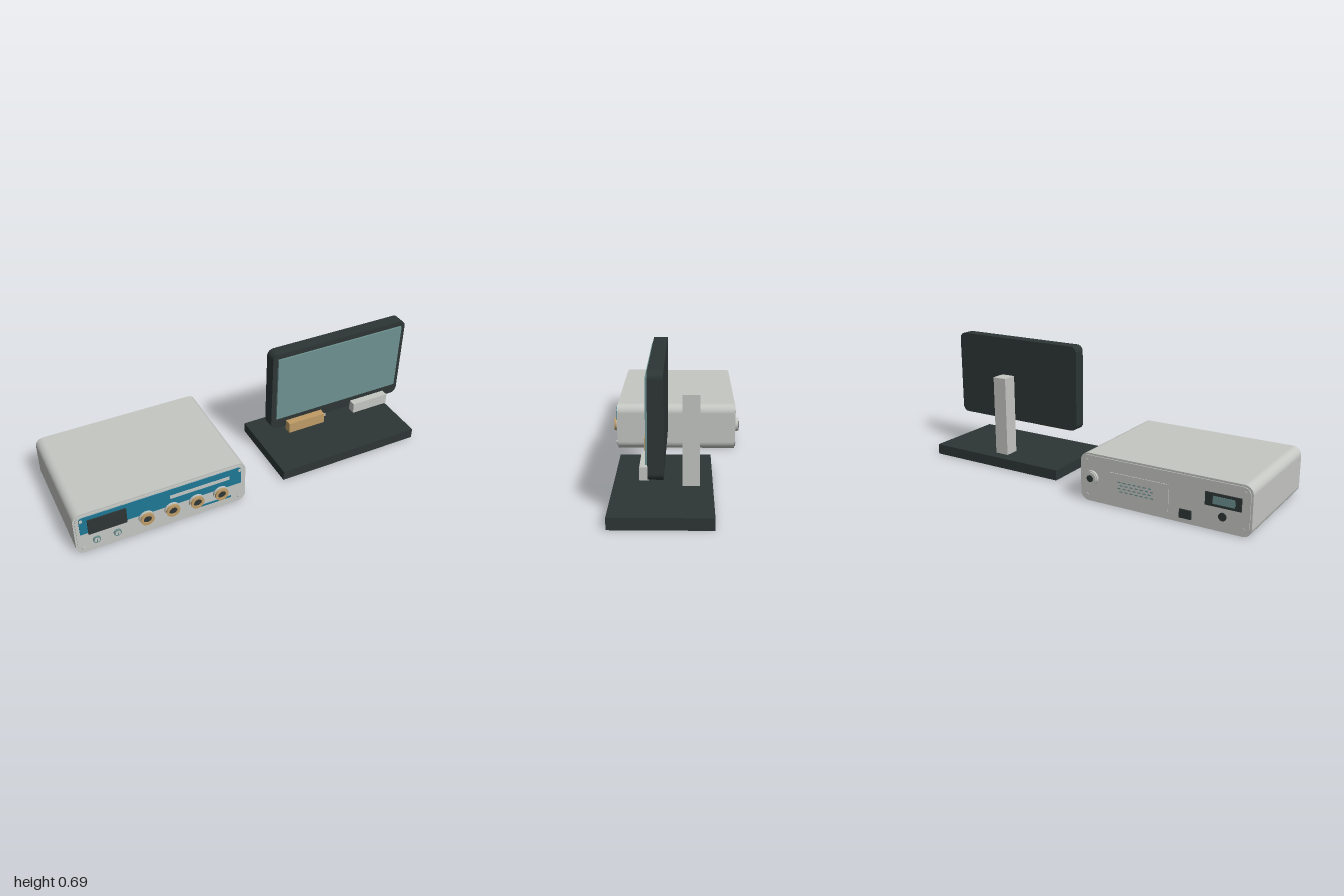
import * as THREE from 'three';

const mat = (name, color) => new THREE.MeshStandardMaterial({ name, color });

export function createModel() {
  const root = new THREE.Group();
  root.name = 'instrumentSet';
  const grey = mat('light grey', 0xc5c7c3);
  const dark = mat('charcoal', 0x2d3635);
  const teal = mat('screen teal', 0x6c9190);
  const blue = mat('panel blue', 0x1f7896);
  const gold = mat('brass', 0xbf9c66);

  const add = (parent, name, geo, material) => {
    const m = new THREE.Mesh(geo, material);
    m.name = name;
    parent.add(m);
    return m;
  };
  // Box given by its extents
  const box = (parent, name, material, x0, x1, y0, y1, z0, z1) => {
    const m = add(parent, name, new THREE.BoxGeometry(x1 - x0, y1 - y0, z1 - z0), material);
    m.position.set((x0 + x1) / 2, (y0 + y1) / 2, (z0 + z1) / 2);
    return m;
  };
  // Rounded rectangle in xy, extruded from z0 to z1
  const slab = (parent, name, material, x0, x1, y0, y1, z0, z1, r) => {
    const s = new THREE.Shape();
    s.moveTo(x0 + r, y0);
    s.lineTo(x1 - r, y0);
    s.absarc(x1 - r, y0 + r, r, -Math.PI / 2, 0, false);
    s.absarc(x1 - r, y1 - r, r, 0, Math.PI / 2, false);
    s.absarc(x0 + r, y1 - r, r, Math.PI / 2, Math.PI, false);
    s.absarc(x0 + r, y0 + r, r, Math.PI, Math.PI * 1.5, false);
    const g = new THREE.ExtrudeGeometry(s, { depth: z1 - z0, bevelEnabled: false, curveSegments: 8 });
    const m = add(parent, name, g, material);
    m.position.z = z0;
    return m;
  };
  // Round part along z
  const disc = (parent, name, material, x, y, z0, z1, r, r2 = r) => {
    const g = new THREE.CylinderGeometry(r2, r, Math.abs(z1 - z0), 24);
    g.rotateX(z1 > z0 ? Math.PI / 2 : -Math.PI / 2);
    const m = add(parent, name, g, material);
    m.position.set(x, y, (z0 + z1) / 2);
    return m;
  };
  // Open ring along z
  const ring = (parent, name, material, x, y, z0, z1, rOut, rIn) => {
    const s = new THREE.Shape().absarc(0, 0, rOut, 0, Math.PI * 2, false);
    s.holes.push(new THREE.Path().absarc(0, 0, rIn, 0, Math.PI * 2, true));
    const g = new THREE.ExtrudeGeometry(s, { depth: z1 - z0, bevelEnabled: false, curveSegments: 16 });
    const m = add(parent, name, g, material);
    m.position.set(x, y, z0);
    return m;
  };

  // Instrument case with end panels
  const unit = new THREE.Group();
  unit.name = 'instrument';
  root.add(unit);
  slab(unit, 'case', grey, -1, -0.085, 0, 0.253, -0.32, 0.32, 0.045);
  slab(unit, 'frontPanel', grey, -0.99, -0.095, 0.01, 0.243, 0.318, 0.325, 0.038);
  slab(unit, 'backPanel', grey, -0.99, -0.095, 0.01, 0.243, -0.325, -0.318, 0.038);

  // Front: coloured band with rounded upper corners
  const band = new THREE.Shape();
  band.moveTo(-0.972, 0.128);
  band.lineTo(-0.113, 0.128);
  band.lineTo(-0.113, 0.21);
  band.quadraticCurveTo(-0.113, 0.233, -0.136, 0.233);
  band.lineTo(-0.949, 0.233);
  band.quadraticCurveTo(-0.972, 0.233, -0.972, 0.21);
  add(unit, 'band', new THREE.ExtrudeGeometry(band, { depth: 0.003, bevelEnabled: false }), blue).position.z = 0.325;
  box(unit, 'bandStripe', grey, -0.505, -0.18, 0.175, 0.196, 0.327, 0.33);
  box(unit, 'lowerStripe', blue, -0.34, -0.17, 0.049, 0.061, 0.324, 0.327);
  box(unit, 'frontDisplay', dark, -0.932, -0.735, 0.121, 0.211, 0.325, 0.335);

  // Front: four coaxial sockets
  for (const x of [-0.635, -0.498, -0.365, -0.23]) {
    disc(unit, 'socketFlange', grey, x, 0.106, 0.325, 0.338, 0.041);
    ring(unit, 'socketRing', gold, x, 0.106, 0.336, 0.349, 0.036, 0.022);
    disc(unit, 'socketCore', dark, x, 0.106, 0.336, 0.342, 0.022);
  }
  // Front: two small buttons
  for (const x of [-0.895, -0.788]) {
    ring(unit, 'buttonRing', teal, x, 0.069, 0.325, 0.333, 0.02, 0.013);
    disc(unit, 'buttonCap', grey, x, 0.069, 0.325, 0.336, 0.013);
    box(unit, 'buttonMark', teal, x - 0.002, x + 0.002, 0.058, 0.08, 0.334, 0.338);
  }
  // Corner screws on both ends
  for (const x of [-0.962, -0.122])
    for (const y of [0.035, 0.215]) {
      disc(unit, 'frontScrew', grey, x, y, 0.324, 0.331, 0.009);
      disc(unit, 'backScrew', grey, x, y, -0.324, -0.328, 0.009);
    }

  // Back: round connector
  disc(unit, 'rearConnector', grey, -0.153, 0.128, -0.325, -0.338, 0.038);
  disc(unit, 'rearConnectorLip', grey, -0.153, 0.128, -0.338, -0.345, 0.034);
  disc(unit, 'rearConnectorCore', dark, -0.153, 0.128, -0.34, -0.347, 0.018);
  // Back: vent plate with staggered slots
  box(unit, 'ventPlate', grey, -0.58, -0.26, 0.04, 0.178, -0.329, -0.325);
  for (let row = 0; row < 4; row++)
    for (let i = 0; i < 7; i++) {
      const x = -0.5 + i * 0.028 + (row % 2) * 0.012, y = 0.085 + row * 0.016;
      box(unit, 'ventSlot', teal, x, x + 0.016, y, y + 0.006, -0.331, -0.328);
    }
  // Back: switch, display and knob
  box(unit, 'rearSwitch', dark, -0.702, -0.64, 0.028, 0.072, -0.333, -0.325);
  box(unit, 'rearDisplayFrame', dark, -0.95, -0.77, 0.122, 0.187, -0.332, -0.325);
  box(unit, 'rearDisplayScreen', teal, -0.92, -0.81, 0.135, 0.174, -0.334, -0.331);
  disc(unit, 'rearKnob', dark, -0.858, 0.078, -0.325, -0.331, 0.02);

  // Monitor on its stand
  const monitor = new THREE.Group();
  monitor.name = 'monitor';
  root.add(monitor);
  box(monitor, 'base', dark, 0.165, 1, 0, 0.057, -0.183, 0.285);
  box(monitor, 'post', grey, 0.54, 0.62, 0.057, 0.497, -0.121, -0.04);
  slab(monitor, 'monitorBody', dark, 0.178, 0.985, 0.213, 0.687, 0.037, 0.105, 0.035);
  box(monitor, 'screen', teal, 0.205, 0.958, 0.279, 0.658, 0.104, 0.115);
  box(monitor, 'leftClip', grey, 0.677, 0.894, 0.187, 0.246, 0.102, 0.145);
  box(monitor, 'rightClip', gold, 0.27, 0.487, 0.187, 0.246, 0.102, 0.145);

  return root;
}
